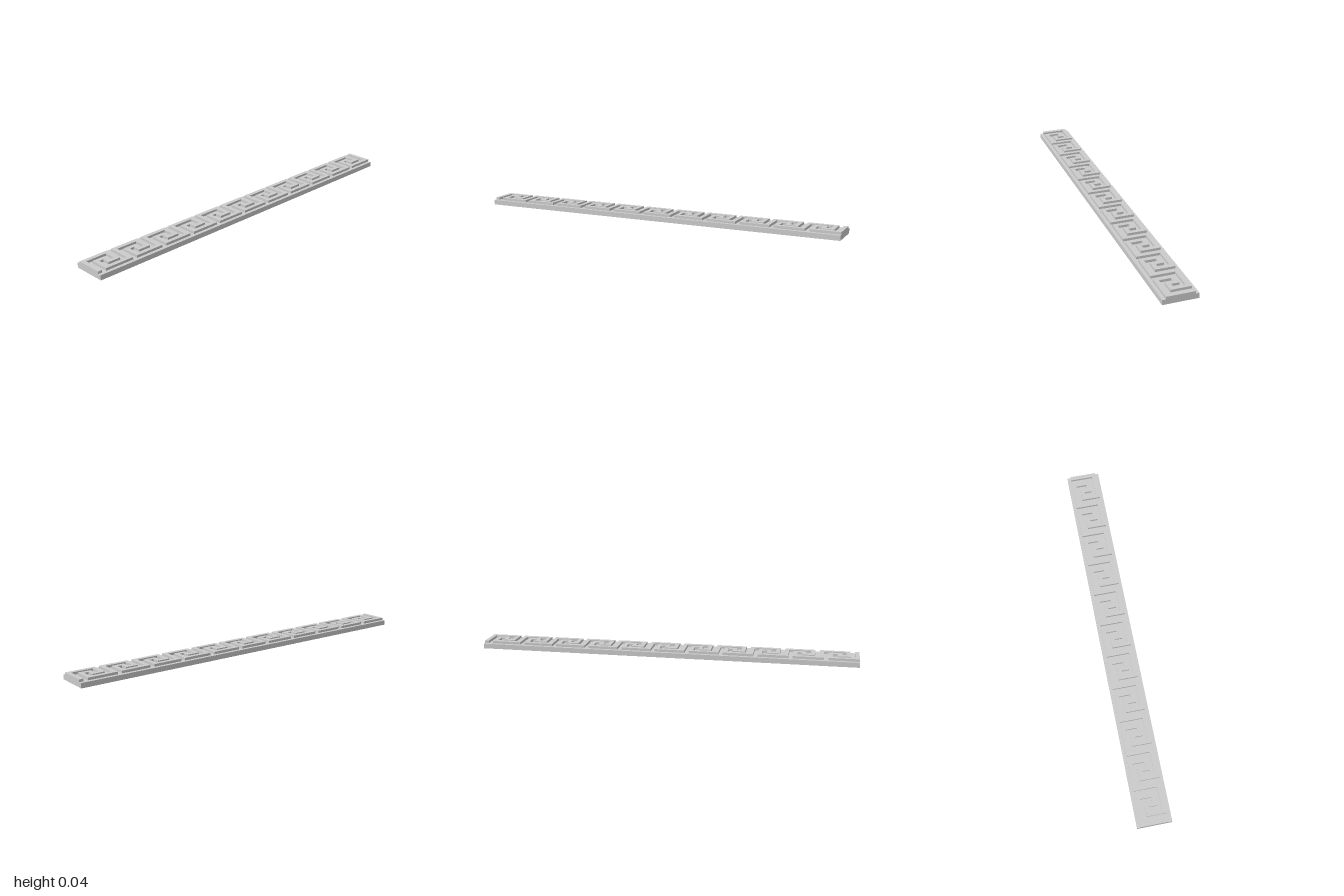
import * as THREE from 'three';

const UNITS = 11;         // number of repeated keys
const BAND = 0.022;       // width of the raised band
const HALF = 0.071;       // half depth of the relief
const STEP_X = (2 - BAND) / (UNITS * 8);
const STEP_Z = (2 * HALF - BAND) / 6;

// Outline of a band of constant width along a right-angled path
function bandShape(path, width) {
  const left = [], right = [];
  path.forEach((p, i) => {
    const before = i > 0 ? p.clone().sub(path[i - 1]).normalize() : null;
    const after = i < path.length - 1 ? path[i + 1].clone().sub(p).normalize() : null;
    const offset = new THREE.Vector2();
    // the normals of both neighbouring runs add up to the mitre
    for (const d of [before, after]) {
      if (d) offset.add(new THREE.Vector2(-d.y, d.x).multiplyScalar(width / 2));
    }
    left.push(p.clone().add(offset));
    right.push(p.clone().sub(offset));
  });
  return new THREE.Shape([...left, ...right.reverse()]);
}

export function createModel() {
  const group = new THREE.Group();
  const material = new THREE.MeshStandardMaterial({ color: 0xcccccc, flatShading: true });

  // Flat backing strip
  const base = new THREE.Mesh(new THREE.BoxGeometry(2, 0.026, 0.177), material);
  base.name = 'baseStrip';
  base.position.y = 0.013;
  group.add(base);

  // Centre line of the running key, in half-pitch cells (column, row from the back)
  const key = [[0, 0], [6, 0], [6, 4], [4, 4], [4, 2], [2, 2], [2, 6], [8, 6]];
  const toPoint = (c, r) =>
    new THREE.Vector2(-1 + BAND / 2 + c * STEP_X, HALF - BAND / 2 - r * STEP_Z);
  const path = [new THREE.Vector2(-1 + BAND / 2, -HALF)];
  for (let u = 0; u < UNITS; u++) {
    for (const [c, r] of key) path.push(toPoint(c + u * 8, r));
  }
  path.push(new THREE.Vector2(1 - BAND / 2, HALF));

  // Raised meander band
  const geometry = new THREE.ExtrudeGeometry(bandShape(path, BAND), {
    depth: 0.014, bevelEnabled: false,
  });
  geometry.rotateX(-Math.PI / 2);
  const meander = new THREE.Mesh(geometry, material);
  meander.name = 'meanderBand';
  meander.position.y = 0.025;
  group.add(meander);

  return group;
}
